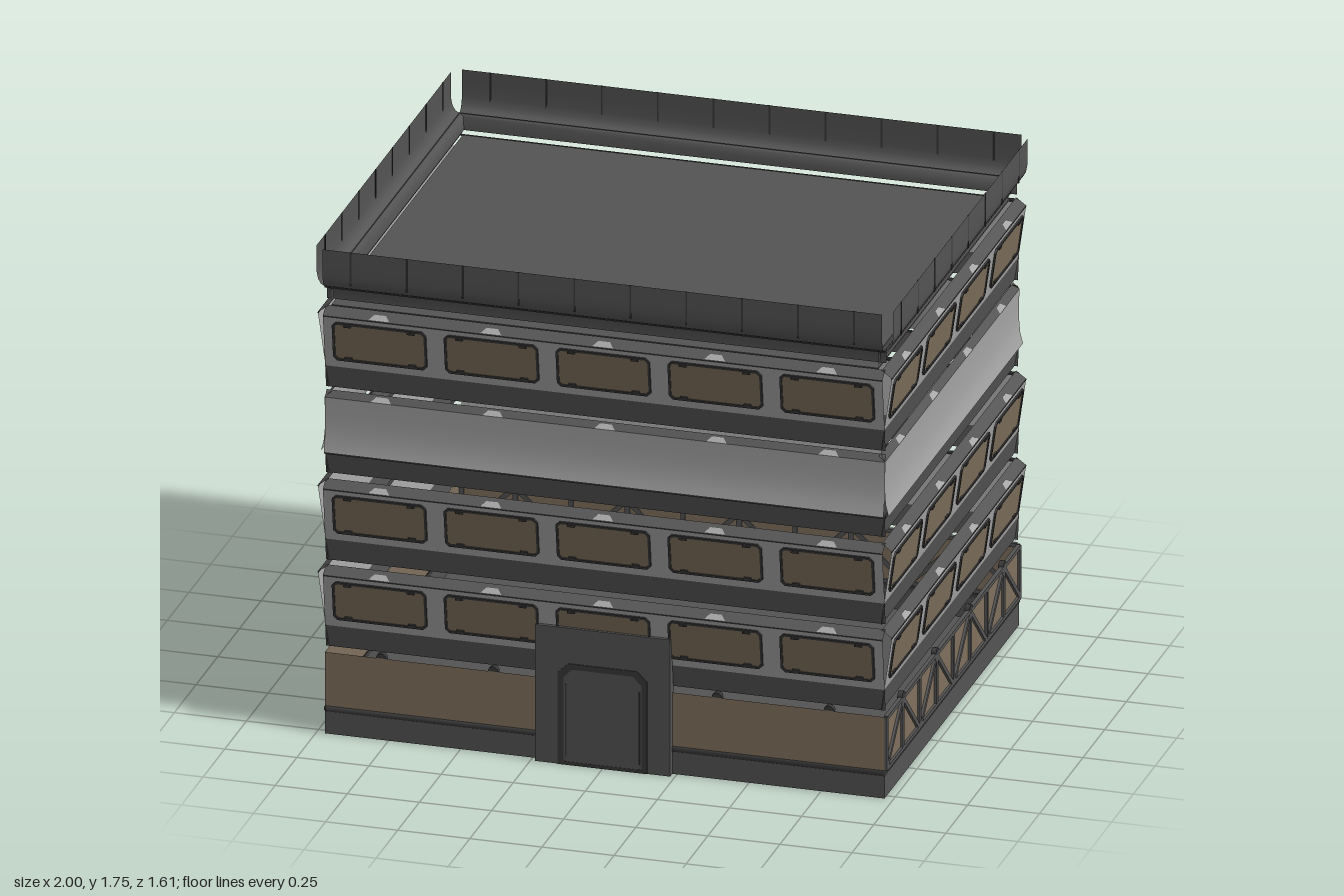
import * as THREE from 'three';

const mat = (name, color, side = THREE.DoubleSide) => {
  const m = new THREE.MeshStandardMaterial({ color, side });
  m.name = name;
  return m;
};

export function createModel() {
  const dark = mat('dark grey', 0x545454);
  const light = mat('light grey', 0xa6a6a6);
  const brown = mat('brown', 0x80715d);
  const trim = mat('charcoal', 0x393939);

  const add = (parent, name, geometry, material, x = 0, y = 0, z = 0) => {
    const m = new THREE.Mesh(geometry, material);
    m.name = name;
    m.position.set(x, y, z);
    parent.add(m);
    return m;
  };
  const box = (parent, name, w, h, d, material, x, y, z) =>
    add(parent, name, new THREE.BoxGeometry(w, h, d), material, x, y, z);

  // Thin sheet: a profile of [outward, y] points swept along the wall
  const sheet = (parent, name, profile, length, material, y = 0, z = 0) => {
    const pos = [], idx = [];
    profile.forEach(([out, h], i) => {
      pos.push(-length / 2, h, out, length / 2, h, out);
      if (i) {
        const a = 2 * i - 2;
        idx.push(a, a + 1, a + 3, a, a + 3, a + 2);
      }
    });
    const g = new THREE.BufferGeometry();
    g.setAttribute('position', new THREE.Float32BufferAttribute(pos, 3));
    g.setIndex(idx);
    g.computeVertexNormals();
    return add(parent, name, g, material, 0, y, z);
  };

  // Rectangle with cut corners
  const cutRect = (w, h, c, Type = THREE.Shape) => {
    const a = w / 2, b = h / 2;
    const pts = [[-a + c, -b], [a - c, -b], [a, -b + c], [a, b - c], [a - c, b], [-a + c, b], [-a, b - c], [-a, -b + c]];
    return new Type(pts.map(p => new THREE.Vector2(...p)));
  };
  const ring = (w, h, c, t, depth) => {
    const s = cutRect(w, h, c);
    s.holes.push(cutRect(w - 2 * t, h - 2 * t, c * 0.7, THREE.Path));
    return new THREE.ExtrudeGeometry(s, { depth, bevelEnabled: false });
  };

  const clipShape = new THREE.Shape([[-0.036, 0], [0.036, 0], [0.02, 0.022], [-0.02, 0.022]].map(p => new THREE.Vector2(...p)));
  const clipGeo = new THREE.ShapeGeometry(clipShape);
  const nodeGeo = new THREE.CylinderGeometry(0.018, 0.018, 0.018, 12).rotateX(Math.PI / 2);
  const glassGeo = new THREE.ShapeGeometry(cutRect(0.32, 0.14, 0.012));
  const frameGeo = ring(0.326, 0.146, 0.014, 0.008, 0.006);
  const PITCH = 0.388;

  const clips = (wall, xs, y, out) => xs.forEach(x => {
    add(wall, 'clip', clipGeo, light, x, y, out).rotation.x = -0.9;
  });

  // Storey with outward leaning windows
  const windowStorey = (wall, length, d, xs, y0) => {
    const g = new THREE.Group();
    g.name = 'windowStorey';
    g.position.set(0, y0, d);
    wall.add(g);
    sheet(g, 'lowerBand', [[-0.012, 0], [-0.002, 0.078]], length, dark);
    sheet(g, 'windowPanel', [[-0.002, 0.078], [0.025, 0.268]], length, light);
    sheet(g, 'topLedge', [[0.025, 0.268], [-0.01, 0.293]], length, dark);
    box(g, 'panelSeam', length, 0.004, 0.003, trim, 0, 0.266, 0.024);
    clips(g, xs, 0.271, 0.024);
    xs.forEach(x => {
      const w = new THREE.Group();
      w.name = 'window';
      w.position.set(x, 0.178, 0.0128);
      w.rotation.x = Math.atan2(0.027, 0.19);
      g.add(w);
      add(w, 'glass', glassGeo, brown, 0, 0, 0.002);
      add(w, 'windowFrame', frameGeo, trim);
      for (const sx of [-1, 1]) for (const sy of [-1, 1])
        box(w, 'cornerLatch', 0.026, 0.008, 0.007, trim, sx * 0.11, sy * 0.062, 0.004);
    });
  };

  // Plain storey with a slightly hollow panel
  const plainStorey = (wall, length, d, xs) => {
    const g = new THREE.Group();
    g.name = 'plainStorey';
    g.position.set(0, 0.937, d);
    wall.add(g);
    sheet(g, 'lowerBand', [[-0.012, 0], [-0.002, 0.072]], length, dark);
    box(g, 'bandSeam', length, 0.008, 0.006, trim, 0, 0.075, 0);
    sheet(g, 'plainPanel', [[0.014, 0.08], [0.004, 0.12], [0, 0.17], [0, 0.22], [0.002, 0.275]], length, light);
    sheet(g, 'topLedge', [[0.002, 0.275], [-0.02, 0.295]], length, dark);
    clips(g, xs, 0.276, 0.004);
  };

  // Braced truss over the ground storey
  const truss = (wall, length, d, xs) => {
    const bar = (x0, y0, x1, y1, t) => {
      const b = box(wall, 'trussBar', Math.hypot(x1 - x0, y1 - y0), t, 0.014, dark, (x0 + x1) / 2, (y0 + y1) / 2, d + 0.002);
      b.rotation.z = Math.atan2(y1 - y0, x1 - x0);
    };
    const L = length / 2 - 0.008;
    bar(-L, 0.287, L, 0.287, 0.014);
    bar(-L, 0.105, L, 0.105, 0.014);
    bar(-L, 0.1, -L, 0.29, 0.016);
    xs.forEach(x => {
      const r = Math.min(x + PITCH / 2, L);
      bar(x, 0.1, x, 0.29, 0.018);
      bar(r, 0.1, r, 0.29, 0.016);
      for (const s of [-1, 1]) bar(x, 0.285, x + s * (PITCH / 2 - 0.012), 0.11, 0.016);
    });
  };

  // Curved parapet with vertical seams
  const parapet = (wall, length, d, count) => {
    sheet(wall, 'parapetFoot', [[-0.022, 1.56], [-0.02, 1.607], [0, 1.61]], length, dark, 0, d);
    sheet(wall, 'parapet', [[0, 1.61], [0.014, 1.618], [0.024, 1.635], [0.029, 1.66], [0.029, 1.71], [0.029, 1.755]], length, dark, 0, d);
    box(wall, 'parapetLip', length, 0.005, 0.004, trim, 0, 1.609, d);
    for (let i = 0; i < count * 2; i++)
      box(wall, 'parapetSeam', 0.006, 0.12, 0.003, trim, (i - count + 0.5) * PITCH / 2, 1.695, d + 0.0285);
  };

  const model = new THREE.Group();
  model.name = 'building';

  // Four walls: front, left, back, right
  for (let k = 0; k < 4; k++) {
    const long = k % 2 === 0;
    const [length, d, count] = long ? [1.94, 0.775, 5] : [1.55, 0.97, 4];
    const xs = Array.from({ length: count }, (_, i) => (i - (count - 1) / 2) * PITCH);
    const wall = new THREE.Group();
    wall.name = ['frontWall', 'leftWall', 'backWall', 'rightWall'][k];
    wall.rotation.y = k * Math.PI / 2;
    model.add(wall);

    sheet(wall, 'plinth', [[0, 0], [0, 0.08]], length, dark, 0, d);
    sheet(wall, 'plinthCap', [[0, 0.08], [0.003, 0.084], [0.003, 0.096], [-0.004, 0.1]], length, trim, 0, d);
    sheet(wall, 'groundPanel', [[0, 0.1], [0, 0.293]], length, brown, 0, d);
    xs.forEach(x => add(wall, 'trussNode', nodeGeo, trim, x, 0.292, d - (k === 1 || k === 2 ? 0 : 0.01)));
    if (k === 1 || k === 2) truss(wall, length, d, xs);

    for (const y of [0.312, 0.623, 1.247]) windowStorey(wall, length, d, xs, y);
    plainStorey(wall, length, d, xs);
    parapet(wall, length, d, count);
  }

  // Roof slab and closed underside
  box(model, 'roof', 1.895, 0.006, 1.515, dark, -0.005, 1.538, 0.002);
  box(model, 'underside', 1.94, 0.006, 1.55, dark, 0, 0.003, 0);

  // Entrance with an arched, cut corner trim
  const door = new THREE.Group();
  door.name = 'entrance';
  model.add(door);
  box(door, 'entranceSurround', 0.468, 0.492, 0.04, dark, 0, 0.246, 0.78);
  const arch = (w, h, c) => [[-w, 0], [-w, h - c], [-w + c, h], [w - c, h], [w, h - c], [w, 0]].map(p => new THREE.Vector2(...p));
  const archShape = new THREE.Shape(arch(0.155, 0.365, 0.035));
  archShape.holes.push(new THREE.Path(arch(0.135, 0.345, 0.03).map(p => p.setY(Math.max(p.y, 0.012)))));
  add(door, 'doorTrim', new THREE.ExtrudeGeometry(archShape, { depth: 0.005, bevelEnabled: false }), trim, 0, 0, 0.798);
  add(door, 'doorLeaf', new THREE.ShapeGeometry(new THREE.Shape(arch(0.125, 0.335, 0.028))), dark, 0, 0.006, 0.802);
  for (const s of [-1, 1]) box(door, 'doorSeam', 0.005, 0.26, 0.003, trim, s * 0.127, 0.16, 0.802);

  return model;
}
